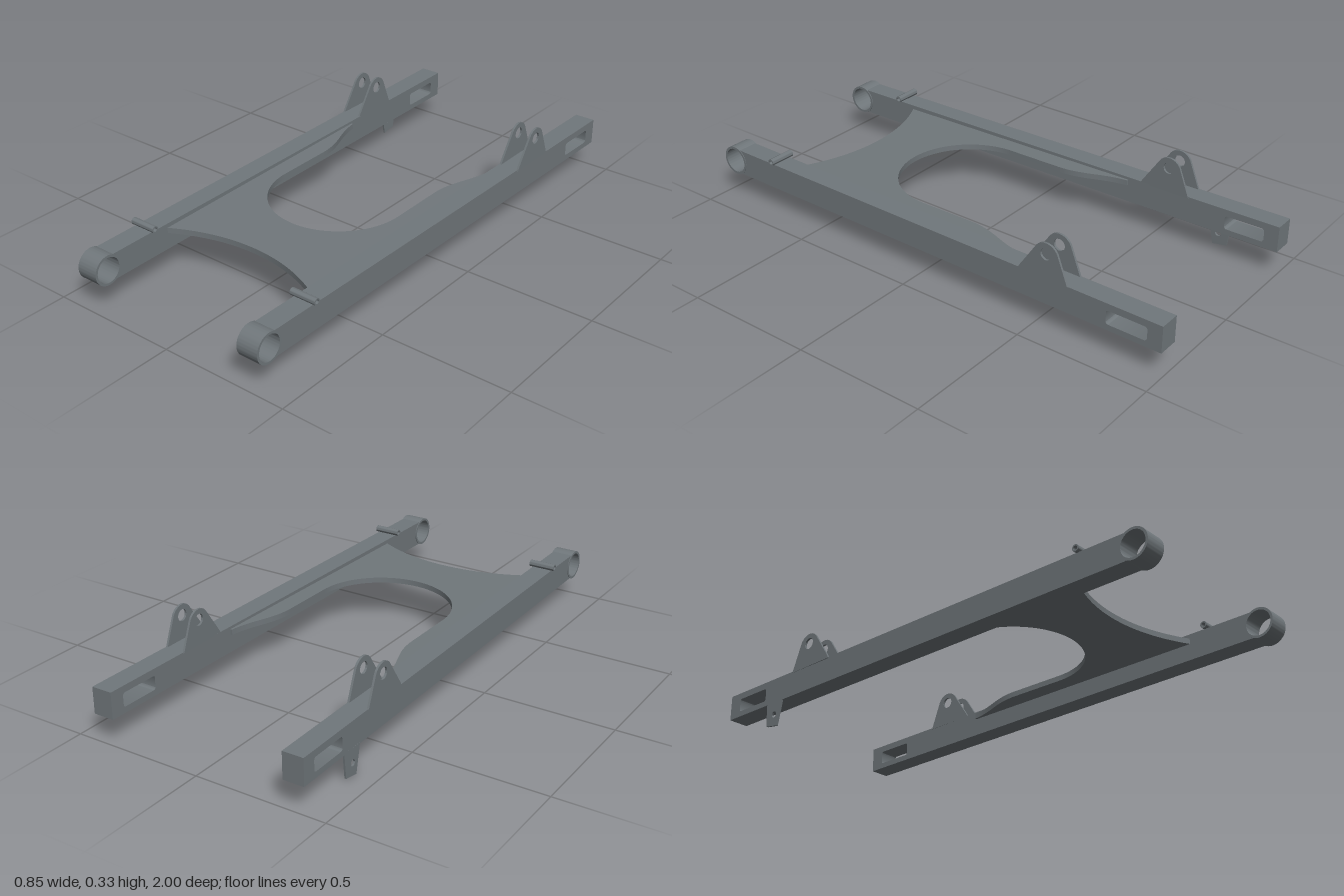
import * as THREE from 'three';
import { toCreasedNormals } from 'three/addons/utils/BufferGeometryUtils.js';

const steel = new THREE.MeshStandardMaterial({ color: 0x70777b });
steel.name = 'steel grey';

// centre line of an arm: the two arms spread slightly towards the back
const armX = z => 0.36 + (0.94 - z) * 0.012;

function addMesh(parent, name, geometry) {
  const mesh = new THREE.Mesh(toCreasedNormals(geometry, 0.5), steel);
  mesh.name = name;
  parent.add(mesh);
  return mesh;
}

// extrude a (z, y) side profile across x, centred on x = 0
function sidePlate(shape, width) {
  const g = new THREE.ExtrudeGeometry(shape, { depth: width, bevelEnabled: false, curveSegments: 32 });
  return g.translate(0, 0, -width / 2).rotateY(-Math.PI / 2);
}

function circlePath(z, y, r, Type = THREE.Path) {
  const p = new Type();
  p.absarc(z, y, r, 0, Math.PI * 2, false);
  return p;
}

function ring(z, y, outer, inner, width) {
  const s = circlePath(z, y, outer, THREE.Shape);
  s.holes.push(circlePath(z, y, inner));
  return sidePlate(s, width);
}

// box arm with an axle slot, its front end coped around the pivot tube
function armGeometry(side) {
  const s = new THREE.Shape();
  const a = Math.asin(0.05 / 0.0515);
  s.moveTo(-1, 0.1);
  s.lineTo(0.94 - 0.0515 * Math.cos(a), 0.1);
  s.absarc(0.94, 0.15, 0.0515, Math.PI + a, Math.PI - a, true);
  s.lineTo(-1, 0.2);
  s.closePath();
  const slot = new THREE.Path();
  const r = 0.01, z0 = -0.945, z1 = -0.79, y0 = 0.122, y1 = 0.174;
  slot.absarc(z1 - r, y0 + r, r, -Math.PI / 2, 0, false);
  slot.absarc(z1 - r, y1 - r, r, 0, Math.PI / 2, false);
  slot.absarc(z0 + r, y1 - r, r, Math.PI / 2, Math.PI, false);
  slot.absarc(z0 + r, y0 + r, r, Math.PI, Math.PI * 1.5, false);
  s.holes.push(slot);
  const g = sidePlate(s, 0.08);
  const p = g.attributes.position;
  for (let i = 0; i < p.count; i++) p.setX(i, p.getX(i) + side * armX(p.getZ(i)));
  return g;
}

// upright ear with a rounded top and a bolt hole
function shockEar() {
  const s = new THREE.Shape();
  s.moveTo(-0.64, 0.195);
  s.lineTo(-0.437, 0.195);
  s.lineTo(-0.445, 0.21);
  s.absarc(-0.552, 0.282, 0.049, 0.5, Math.PI - 0.4, false);
  s.lineTo(-0.637, 0.2);
  s.closePath();
  s.holes.push(circlePath(-0.552, 0.29, 0.022));
  return sidePlate(s, 0.008);
}

// small tab hanging under one arm
function lowerTab() {
  const s = new THREE.Shape();
  s.moveTo(-0.69, 0.105);
  s.lineTo(-0.78, 0.105);
  s.lineTo(-0.77, 0.01);
  s.lineTo(-0.712, 0);
  s.closePath();
  s.holes.push(circlePath(-0.732, 0.05, 0.012));
  return sidePlate(s, 0.007);
}

// web between the arms with a concave front and a deep round cutout at the back
function webGeometry() {
  const s = new THREE.Shape();
  s.moveTo(-0.35, 0.67);
  s.lineTo(-0.325, 0.66);
  s.quadraticCurveTo(-0.17, 0.575, 0, 0.575);
  s.quadraticCurveTo(0.17, 0.575, 0.325, 0.66);
  s.lineTo(0.35, 0.67);
  s.lineTo(0.35, -0.385);
  s.lineTo(0.328, -0.385);
  s.bezierCurveTo(0.318, -0.28, 0.265, -0.23, 0.263, -0.12);
  s.lineTo(0.263, 0.105);
  s.absarc(0, 0.105, 0.263, 0, Math.PI, false);
  s.lineTo(-0.263, -0.12);
  s.bezierCurveTo(-0.265, -0.23, -0.318, -0.28, -0.328, -0.385);
  s.lineTo(-0.35, -0.385);
  s.closePath();
  const g = new THREE.ExtrudeGeometry(s, { depth: 0.021, bevelEnabled: false, curveSegments: 32 });
  g.rotateX(Math.PI / 2).translate(0, 0.184, 0);
  // slight rise towards the back
  const p = g.attributes.position;
  for (let i = 0; i < p.count; i++) p.setY(i, p.getY(i) + (0.6 - p.getZ(i)) * 0.006);
  return g;
}

export function createModel() {
  const model = new THREE.Group();
  model.name = 'swingArm';
  addMesh(model, 'crossWeb', webGeometry());

  for (const side of [1, -1]) {
    const arm = new THREE.Group();
    arm.name = side > 0 ? 'leftArm' : 'rightArm';
    model.add(arm);
    addMesh(arm, 'armBeam', armGeometry(side));
    addMesh(arm, 'pivotTube', ring(0.942, 0.15, 0.057, 0.048, 0.085)).position.x = side * 0.36;
    addMesh(arm, 'guideTube', ring(0.728, 0.212, 0.013, 0.008, 0.104)).position.x = side * 0.362;
    for (const x of [0.341, 0.416]) addMesh(arm, 'shockEar', shockEar()).position.x = side * x;
    if (side < 0) addMesh(arm, 'lowerTab', lowerTab()).position.x = -0.417;
  }
  return model;
}
